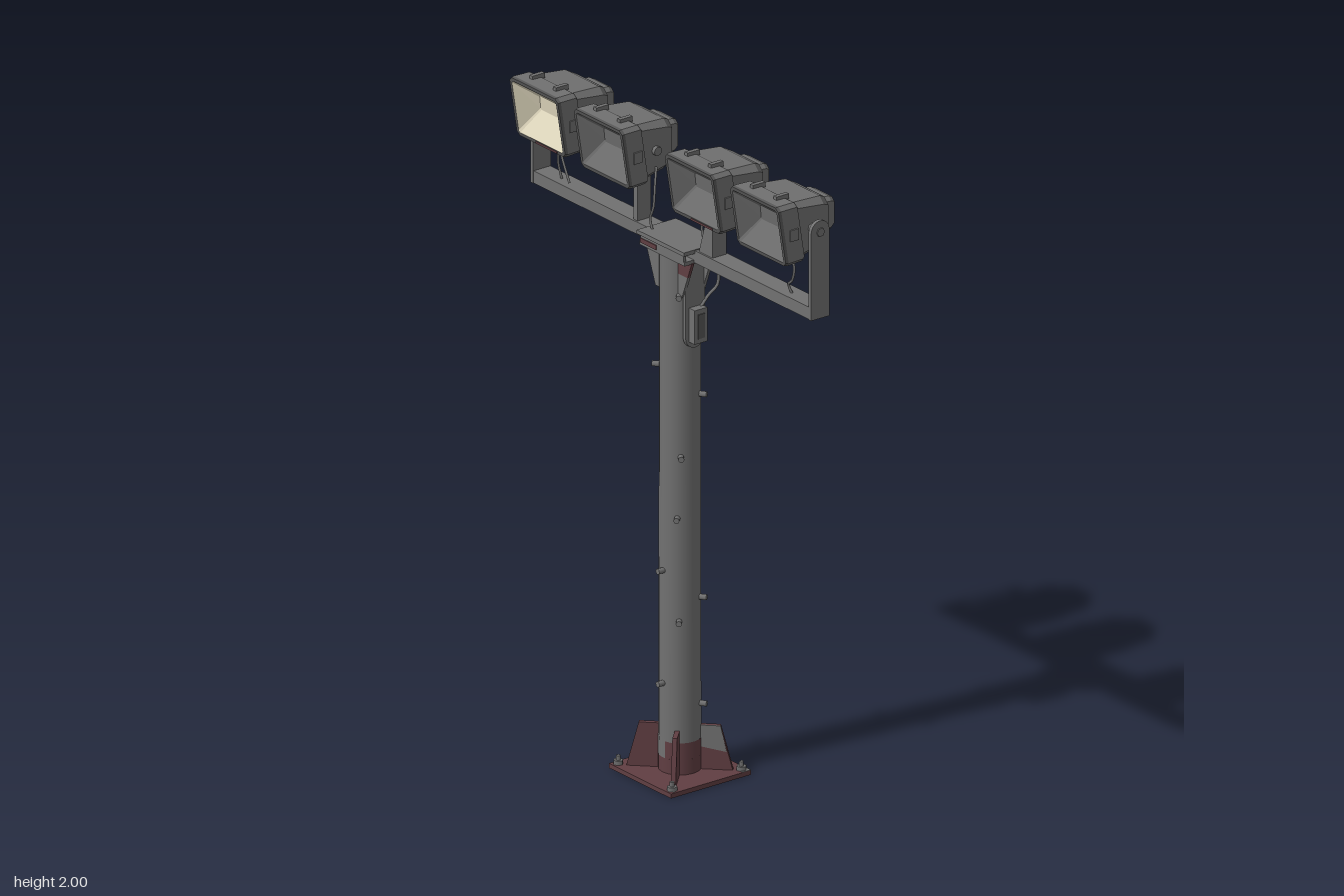
import * as THREE from 'three';

const mat = (name, color) => {
  const m = new THREE.MeshStandardMaterial({ color });
  m.name = name;
  return m;
};

export function createModel() {
  const root = new THREE.Group();
  root.name = 'floodlightMast';
  const steel = mat('greySteel', 0x717171);
  const rust = mat('rustPaint', 0x603e42);
  const rimGrey = mat('darkRim', 0x565656);
  const glass = mat('unlitReflector', 0x6c6c6c);
  const lit = mat('litReflector', 0xded6bc);

  const add = (parent, name, geo, m, x = 0, y = 0, z = 0) => {
    const mesh = new THREE.Mesh(geo, m);
    mesh.name = name;
    mesh.position.set(x, y, z);
    parent.add(mesh);
    return mesh;
  };
  const box = (p, name, m, w, h, d, x, y, z) => add(p, name, new THREE.BoxGeometry(w, h, d), m, x, y, z);
  const cyl = (p, name, m, r, h, x, y, z, n = 8) => add(p, name, new THREE.CylinderGeometry(r, r, h, n), m, x, y, z);
  const plate = (p, name, m, pts, depth, z = 0) => {
    const g = new THREE.ExtrudeGeometry(new THREE.Shape(pts.map(q => new THREE.Vector2(...q))), { depth, bevelEnabled: false });
    return add(p, name, g.translate(0, 0, -depth / 2), m, 0, 0, z);
  };
  const tube = (p, name, m, pts, r) => add(p, name, new THREE.TubeGeometry(
    new THREE.CatmullRomCurve3(pts.map(q => new THREE.Vector3(...q))), 14, r, 6), m);
  // upright strap with one rounded end, lying in the yz plane
  const strap = (p, name, m, x, y0, y1, half, thick, roundBottom) => {
    const s = new THREE.Shape();
    if (roundBottom) {
      s.moveTo(-half, y1).lineTo(-half, y0 + half);
      s.absarc(0, y0 + half, half, Math.PI, Math.PI * 2, false);
      s.lineTo(half, y1);
    } else {
      s.moveTo(-half, y0).lineTo(half, y0).lineTo(half, y1 - half);
      s.absarc(0, y1 - half, half, 0, Math.PI, false);
    }
    const g = new THREE.ExtrudeGeometry(s, { depth: thick, bevelEnabled: false, curveSegments: 8 });
    g.translate(0, 0, -thick / 2).rotateY(Math.PI / 2);
    return add(p, name, g, m, x, 0, 0);
  };

  // loft through chamfered rectangles [z, width, height, yCentre, lean, chamfer], flat faced
  const loft = (sections, startCap = true, endCap = true) => {
    const rings = sections.map(([z, w, h, yc, lean, c]) => {
      const a = w / 2, b = h / 2;
      return [[a, -b + c], [a, b - c], [a - c, b], [-a + c, b], [-a, b - c], [-a, -b + c], [-a + c, -b], [a - c, -b]]
        .map(([x, y]) => [x, yc + y, z + lean * y]);
    });
    const v = [], n = 8, last = rings[rings.length - 1];
    for (let k = 0; k + 1 < rings.length; k++)
      for (let i = 0; i < n; i++) {
        const j = (i + 1) % n, A = rings[k], B = rings[k + 1];
        v.push(...A[i], ...A[j], ...B[j], ...A[i], ...B[j], ...B[i]);
      }
    for (let i = 1; i < n - 1; i++) {
      if (startCap) v.push(...rings[0][0], ...rings[0][i + 1], ...rings[0][i]);
      if (endCap) v.push(...last[0], ...last[i], ...last[i + 1]);
    }
    const g = new THREE.BufferGeometry();
    g.setAttribute('position', new THREE.Float32BufferAttribute(v, 3));
    g.computeVertexNormals();
    return g;
  };

  // base plate, anchor bolts and diagonal gussets; one gusset is worn grey on one side
  box(root, 'basePlate', rust, 0.29, 0.014, 0.29, 0, 0.007, 0);
  box(root, 'wornCorner', steel, 0.02, 0.002, 0.03, 0.135, 0.0145, -0.13);
  for (let i = 0; i < 4; i++) {
    const arm = new THREE.Group();
    arm.name = 'baseCorner';
    arm.rotation.y = Math.PI / 4 + i * Math.PI / 2;
    root.add(arm);
    plate(arm, 'baseGusset', rust, [[0.05, 0.01], [0.155, 0.01], [0.118, 0.15], [0.05, 0.15]], 0.014);
    if (i === 0) plate(arm, 'wornPatch', steel, [[0.055, 0.085], [0.136, 0.07], [0.119, 0.15], [0.055, 0.15]], 0.004, 0.006);
    cyl(arm, 'anchorBolt', steel, 0.015, 0.014, 0.178, 0.02, 0, 6);
    cyl(arm, 'anchorStud', steel, 0.007, 0.03, 0.178, 0.026, 0, 6);
  }

  // post with a rust-painted foot, worn grey towards the front
  const deg = Math.PI / 180;
  add(root, 'post', new THREE.CylinderGeometry(0.06, 0.062, 1.51, 16), steel, 0, 0.865, 0);
  add(root, 'postFoot', new THREE.CylinderGeometry(0.063, 0.063, 0.05, 16), rust, 0, 0.035, 0);
  add(root, 'postFootBand', new THREE.CylinderGeometry(0.063, 0.063, 0.052, 14, 1, true, 10 * deg, 300 * deg), rust, 0, 0.086, 0);
  add(root, 'postFootWorn', new THREE.CylinderGeometry(0.062, 0.063, 0.06, 4, 1, true, -50 * deg, 60 * deg), steel, 0, 0.09, 0);

  // bolts around the post: [angle in degrees from +x towards +z, height]
  [[-35, 0.22], [90, 0.29], [-150, 0.33], [40, 0.49], [-35, 0.55], [90, 0.64], [45, 0.81], [-150, 0.81],
    [35, 1.0], [-35, 1.18], [140, 1.26], [40, 1.5]].forEach(([angle, y]) => {
    const pivot = new THREE.Group();
    pivot.name = 'postBolt';
    pivot.rotation.y = -angle * deg;
    pivot.position.y = y;
    root.add(pivot);
    cyl(pivot, 'boltHead', steel, 0.009, 0.026, 0.068, 0, 0).rotation.z = Math.PI / 2;
  });

  // conduit, junction box and its hanger
  tube(root, 'conduit', steel, [[-0.085, 1.62, 0], [-0.066, 1.5, 0], [-0.064, 1.36, 0], [-0.064, 1.24, 0]], 0.008);
  strap(root, 'boxHanger', steel, 0.066, 1.34, 1.62, 0.035, 0.012, true);
  box(root, 'junctionBox', steel, 0.032, 0.105, 0.046, 0.083, 1.415, 0);
  box(root, 'junctionCover', rimGrey, 0.004, 0.075, 0.024, 0.1, 1.415, 0);
  box(root, 'junctionRust', rust, 0.016, 0.05, 0.003, 0.084, 1.42, -0.0235);
  tube(root, 'boxCable', steel, [[0.08, 1.64, -0.07], [0.08, 1.52, -0.075], [0.07, 1.49, -0.05], [0.08, 1.46, -0.01]], 0.005);

  // crossbar, head cap and head gussets
  box(root, 'crossbar', steel, 1.31, 0.038, 0.062, 0, 1.641, 0);
  box(root, 'headCap', steel, 0.22, 0.012, 0.142, 0, 1.657, 0);
  box(root, 'headFlange', steel, 0.21, 0.012, 0.13, 0, 1.624, 0);
  for (const s of [-1, 1]) {
    box(root, 'headCheek', steel, 0.2, 0.03, 0.01, 0, 1.638, s * 0.06);
    for (const t of [-1, 1]) {
      const upper = [[s * 0.04, 1.62], [s * 0.04, 1.57], [s * 0.089, 1.57], [s * 0.108, 1.62]];
      const lower = [[s * 0.04, 1.57], [s * 0.04, 1.5], [s * 0.062, 1.5], [s * 0.089, 1.57]];
      plate(root, 'headGussetTop', s === t ? rust : steel, upper, 0.01, t * 0.036);
      plate(root, 'headGussetLow', s === -1 && t === -1 ? rust : steel, lower, 0.01, t * 0.036);
    }
  }
  box(root, 'rustStrip', rust, 0.075, 0.014, 0.004, -0.062, 1.634, 0.066);

  // lamp supports
  for (const s of [-1, 1]) {
    strap(root, 'endUpright', steel, s * 0.65, 1.622, 1.925, 0.033, 0.012, false);
    cyl(root, 'pivotBolt', steel, 0.014, 0.046, s * 0.637, 1.89, 0, 6).rotation.z = Math.PI / 2;
  }
  box(root, 'innerUpright', steel, 0.018, 0.17, 0.05, -0.175, 1.74, 0);
  plate(root, 'innerBracket', steel, [[0.12, 1.655], [0.185, 1.655], [0.185, 1.82], [0.17, 1.82]], 0.05);

  // floodlight parts, shared by all four lamps
  const housing = loft([[-0.075, 0.165, 0.12, 0.005, 0, 0.02], [-0.045, 0.2, 0.155, 0.003, 0, 0.02],
    [0.06, 0.208, 0.18, 0, 0.15, 0.015]], true, false);
  const gearBox = loft([[-0.122, 0.1, 0.09, 0, 0, 0.012], [-0.105, 0.114, 0.106, 0, 0, 0.012], [-0.06, 0.116, 0.112, 0, 0, 0.012]]);
  const rimSide = loft([[0.045, 0.218, 0.182, 0, 0.16, 0.012], [0.052, 0.226, 0.19, 0, 0.16, 0.012],
    [0.108, 0.23, 0.192, 0, 0.16, 0.012]], true, false);
  const rimFace = loft([[0.108, 0.23, 0.192, 0, 0.16, 0.012], [0.117, 0.226, 0.188, 0, 0.16, 0.012],
    [0.117, 0.206, 0.166, 0, 0.16, 0.006]], false, false);
  const reflector = loft([[0.117, 0.206, 0.166, 0, 0.16, 0.006], [0.064, 0.11, 0.044, 0.014, 0.1, 0.004]], false, true);

  [-0.515, -0.215, 0.21, 0.515].forEach((x, i) => {
    const lamp = new THREE.Group();
    lamp.name = 'floodlight';
    lamp.position.set(x, 1.891, 0);
    root.add(lamp);
    add(lamp, 'housing', housing, steel);
    add(lamp, 'gearBox', gearBox, steel);
    add(lamp, 'rimSide', rimSide, steel);
    add(lamp, 'rimFace', rimFace, rimGrey);
    add(lamp, 'reflector', reflector, i === 0 ? lit : glass);
    if (i % 2 === 0) box(lamp, 'rimRust', rust, 0.1, 0.006, 0.004, 0.025, -0.089, 0.103);
    for (const s of [-1, 1]) {
      box(lamp, 'topLatch', steel, 0.014, 0.016, 0.045, s * 0.055, 0.098, 0.075);
      box(lamp, 'sideHinge', steel, 0.01, 0.035, 0.03, s * 0.113, 0, 0.075);
      cyl(lamp, 'sidePivot', steel, 0.014, 0.016, s * 0.106, 0, 0).rotation.z = Math.PI / 2;
    }
    box(lamp, 'mountFoot', steel, 0.06, 0.02, 0.05, 0, -0.088, 0);
  });

  // cables from the lamps to the crossbar
  [
    [[-0.53, 1.81, 0.02], [-0.54, 1.76, 0.02], [-0.555, 1.71, 0.01], [-0.55, 1.655, 0]],
    [[-0.54, 1.79, 0.02], [-0.525, 1.74, 0.02], [-0.49, 1.67, 0.02]],
    [[-0.11, 1.84, 0], [-0.09, 1.8, 0.02], [-0.085, 1.73, 0.03], [-0.1, 1.69, 0.03], [-0.085, 1.65, 0.03]],
    [[0.15, 1.81, 0], [0.1, 1.755, -0.01], [0.075, 1.72, -0.02], [0.09, 1.655, -0.02]],
    [[0.54, 1.81, 0.02], [0.56, 1.75, 0.02], [0.55, 1.71, 0.02], [0.52, 1.685, 0.01], [0.53, 1.65, 0]],
  ].forEach(pts => tube(root, 'lampCable', steel, pts, 0.004));

  return root;
}
